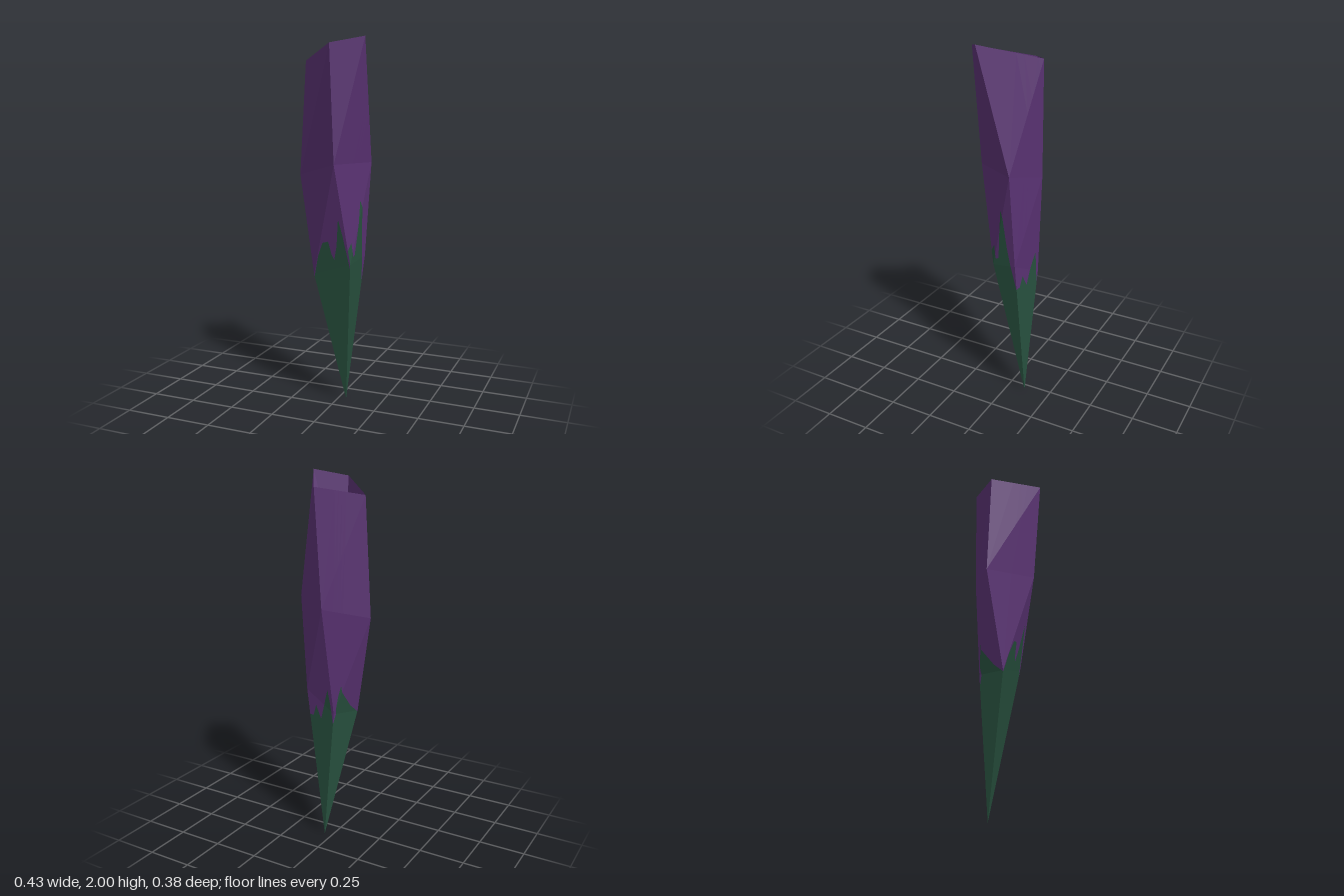
import * as THREE from 'three';

// Corner edges of the shard, each listed from lower ring to rim: [x, y, z]
const TIP = [0.045, 0.0, -0.105];
const EDGES = [
  [[-0.105, 0.74, 0.0], [-0.215, 1.28, -0.068], [-0.172, 1.89, -0.055]],
  [[0.125, 0.82, 0.048], [0.068, 1.36, 0.142], [0.063, 1.965, 0.19]],
  [[0.155, 0.85, -0.098], [0.193, 1.36, -0.085], [0.213, 2.0, 0.083]],
  [[-0.037, 0.75, -0.14], [0.01, 1.32, -0.18], [0.04, 1.93, -0.193]],
];

// Jagged colour border on each side: axis measured along, then [position, height] points
const BORDERS = [
  { axis: 0, pts: [[-0.1, 0.72], [-0.07, 0.85], [-0.035, 0.93], [0, 0.94], [0.015, 0.87], [0.03, 0.84], [0.05, 0.92], [0.07, 1.07], [0.09, 0.98], [0.125, 0.78]] },
  { axis: 2, pts: [[-0.1, 0.69], [-0.07, 0.84], [-0.05, 0.95], [-0.03, 1.12], [-0.015, 1.16], [0, 0.97], [0.01, 0.87], [0.028, 0.86], [0.04, 0.94], [0.062, 0.85]] },
  { axis: 0, pts: [[-0.032, 0.64], [-0.015, 0.8], [0, 0.88], [0.02, 0.82], [0.055, 0.7], [0.09, 0.77], [0.11, 0.71], [0.135, 0.7]] },
  { axis: 0, pts: [[-0.105, 0.73], [-0.09, 0.78], [-0.075, 0.91], [-0.06, 0.85], [-0.045, 0.76], [-0.03, 0.64]] },
];

// Keep the part of a convex polygon where f >= 0
function clip(poly, f) {
  const out = [];
  poly.forEach((a, i) => {
    const b = poly[(i + 1) % poly.length];
    const fa = f(a), fb = f(b);
    if (fa >= 0) out.push(a);
    if ((fa >= 0) !== (fb >= 0)) {
      const t = fa / (fa - fb);
      out.push(a.map((v, k) => v + (b[k] - v) * t));
    }
  });
  return out;
}

function addFan(list, poly) {
  for (let i = 1; i < poly.length - 1; i++) list.push(...poly[0], ...poly[i], ...poly[i + 1]);
}

// Split one facet along its border, column by column
function splitFacet(tri, { axis, pts }, lower, upper) {
  for (let i = 0; i < pts.length - 1; i++) {
    const [[u0, h0], [u1, h1]] = [pts[i], pts[i + 1]];
    let col = tri;
    if (i > 0) col = clip(col, p => p[axis] - u0);
    if (i < pts.length - 2) col = clip(col, p => u1 - p[axis]);
    if (col.length < 3) continue;
    // End columns run level past the last point
    const height = p => h0 + (h1 - h0) * THREE.MathUtils.clamp((p[axis] - u0) / (u1 - u0), 0, 1);
    addFan(lower, clip(col, p => height(p) - p[1]));
    addFan(upper, clip(col, p => p[1] - height(p)));
  }
}

function shellMesh(name, positions, material) {
  const geometry = new THREE.BufferGeometry();
  geometry.setAttribute('position', new THREE.Float32BufferAttribute(positions, 3));
  geometry.computeVertexNormals();
  const mesh = new THREE.Mesh(geometry, material);
  mesh.name = name;
  return mesh;
}

export function createModel() {
  const purple = new THREE.MeshStandardMaterial({ color: 0x5a3273, side: THREE.DoubleSide, flatShading: true });
  purple.name = 'purple';
  const green = new THREE.MeshStandardMaterial({ color: 0x28523f, side: THREE.DoubleSide, flatShading: true });
  green.name = 'dark green';

  // Four sides, open at the rim: tip facet, then two bands of two facets
  const lower = [], upper = [];
  EDGES.forEach((left, i) => {
    const right = EDGES[(i + 1) % 4];
    const facets = [[TIP, right[0], left[0]]];
    for (let k = 0; k < 2; k++) {
      facets.push([left[k], right[k], right[k + 1]], [left[k], right[k + 1], left[k + 1]]);
    }
    facets.forEach(f => splitFacet(f, BORDERS[i], lower, upper));
  });

  const group = new THREE.Group();
  group.name = 'crystalShard';
  group.add(shellMesh('greenTip', lower, green), shellMesh('purpleBody', upper, purple));
  return group;
}
